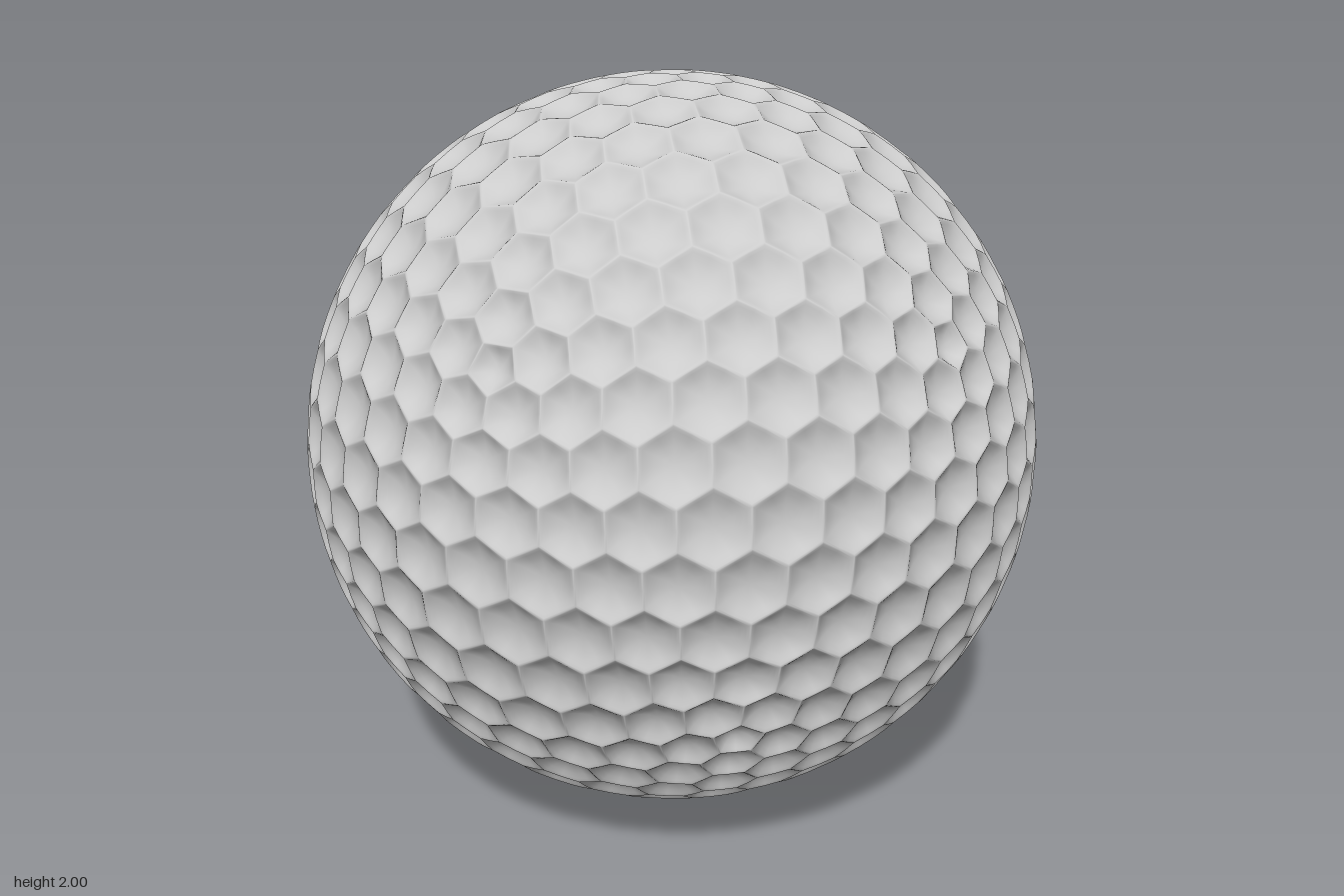
import * as THREE from 'three';
import { mergeVertices } from 'three/addons/utils/BufferGeometryUtils.js';

const DEPTH = 0.028; // depth of a dimple
const FREQUENCY = 8; // cells along each icosahedron edge
// dimple profile from centre to ridge: [fraction of the way out, fraction of depth]
const PROFILE = [[0.28, 0.94], [0.52, 0.76], [0.72, 0.49], [0.87, 0.2], [0.95, 0.05], [1, 0]];

// Subdivided icosahedron standing on a vertex; each of its points becomes one dimple
function cellGrid() {
  const points = [0, 1, 0, 0, -1, 0];
  const faces = [];
  const r = 2 / Math.sqrt(5), h = 1 / Math.sqrt(5);
  for (let k = 0; k < 5; k++) {
    const a = k * Math.PI * 0.4, b = a + Math.PI * 0.2;
    points.push(r * Math.cos(a), h, r * Math.sin(a), r * Math.cos(b), -h, r * Math.sin(b));
    const up = 2 + 2 * k, low = up + 1;
    const nextUp = 2 + 2 * ((k + 1) % 5), nextLow = nextUp + 1;
    faces.push(0, nextUp, up, up, nextUp, low, low, nextUp, nextLow, 1, low, nextLow);
  }
  const geometry = new THREE.PolyhedronGeometry(points, faces, 1, FREQUENCY - 1);
  geometry.deleteAttribute('normal');
  geometry.deleteAttribute('uv');
  return mergeVertices(geometry, 1e-4);
}

function dimpledSphere() {
  const grid = cellGrid();
  const pos = grid.attributes.position, index = grid.index;
  const at = (i) => new THREE.Vector3().fromBufferAttribute(pos, i);

  // corners of every cell are the centres of the triangles around its point
  const corners = Array.from({ length: pos.count }, () => []);
  for (let i = 0; i < index.count; i += 3) {
    const ids = [0, 1, 2].map((k) => index.getX(i + k));
    const centre = ids.reduce((sum, id) => sum.add(at(id)), new THREE.Vector3()).normalize();
    ids.forEach((id) => corners[id].push(centre));
  }

  const vertices = [], faces = [];
  corners.forEach((cell, id) => {
    const c = at(id).normalize();
    const u = cell[0].clone().cross(c).normalize();
    const v = c.clone().cross(u);
    const angle = (p) => Math.atan2(p.dot(v), p.dot(u));
    cell.sort((a, b) => angle(a) - angle(b));

    // rim: corners and edge midpoints
    const rim = [];
    cell.forEach((p, i) => {
      const next = cell[(i + 1) % cell.length];
      rim.push(p, p.clone().add(next).normalize());
    });
    const n = rim.length;
    const mean = rim.reduce((sum, p) => sum + p.distanceTo(c), 0) / n;

    // rings from the dimple's floor out to the ridge, rounder towards the floor
    const first = vertices.length / 3;
    vertices.push(...c.clone().multiplyScalar(1 - DEPTH).toArray());
    PROFILE.forEach(([t, d]) => {
      for (const p of rim) {
        if (t === 1) {
          vertices.push(p.x, p.y, p.z);
          continue;
        }
        const out = p.clone().sub(c);
        const round = THREE.MathUtils.lerp(mean / out.length(), 1, t);
        const q = c.clone().addScaledVector(out, t * round);
        vertices.push(...q.setLength(1 - DEPTH * d).toArray());
      }
    });
    for (let i = 0; i < n; i++) {
      const j = (i + 1) % n;
      faces.push(first, first + 1 + i, first + 1 + j);
      for (let k = 0; k < PROFILE.length - 1; k++) {
        const a = first + 1 + k * n, b = a + n;
        faces.push(a + i, b + i, b + j, a + i, b + j, a + j);
      }
    }
  });

  const geometry = new THREE.BufferGeometry();
  geometry.setAttribute('position', new THREE.Float32BufferAttribute(vertices, 3));
  geometry.setIndex(faces);
  // join neighbouring cells so the ridges are smooth
  const joined = mergeVertices(geometry, 1e-4);
  joined.computeVertexNormals();
  return joined;
}

export function createModel() {
  const group = new THREE.Group();
  group.name = 'golfBall';
  const ball = new THREE.Mesh(dimpledSphere(), new THREE.MeshStandardMaterial({ color: 0xcccccc }));
  ball.name = 'dimpledShell';
  ball.position.y = 1;
  group.add(ball);
  return group;
}
